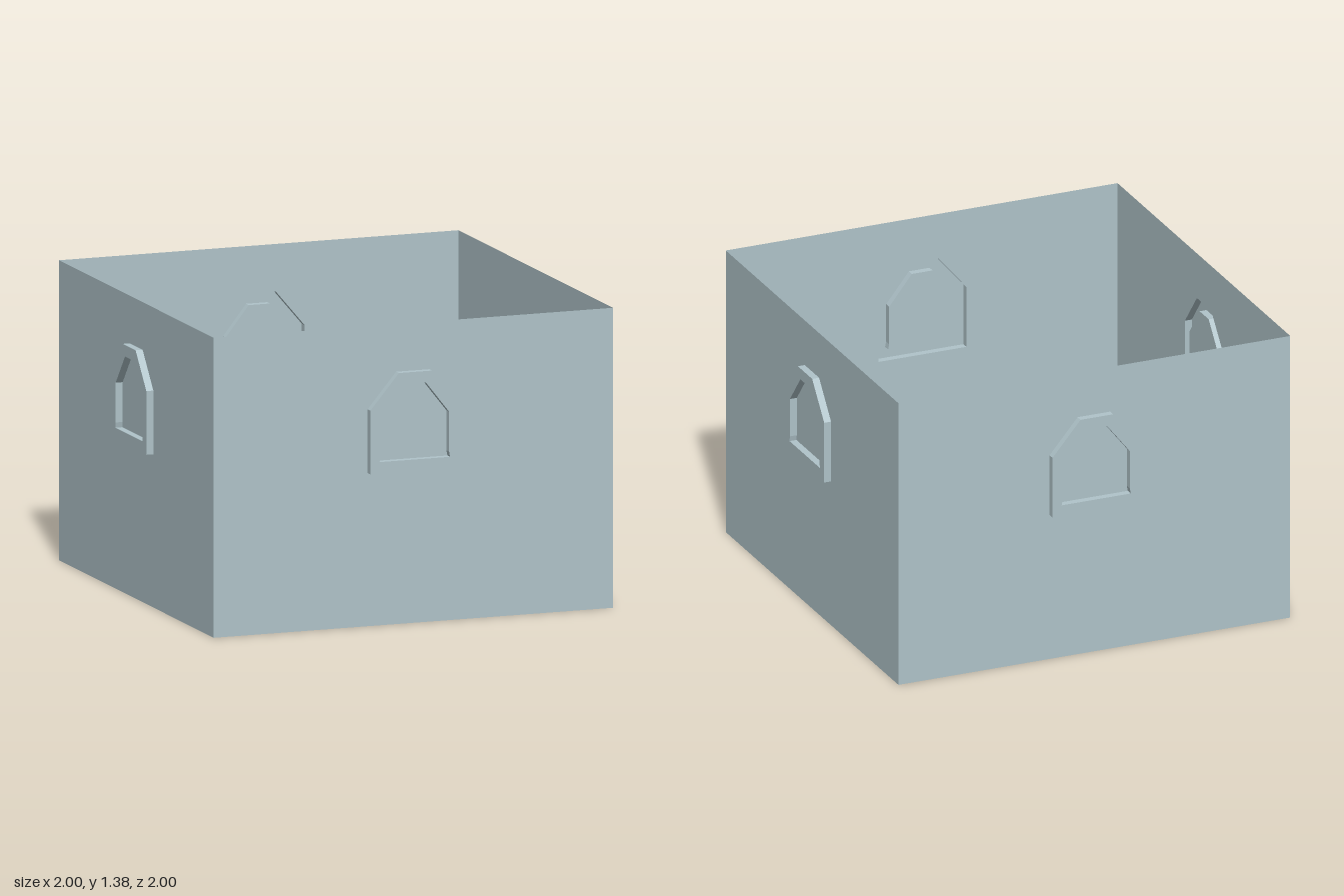
import * as THREE from 'three';

const HALF = 0.966, HEIGHT = 1.38, FACE = 1.0;

// Window outlines, counter-clockwise seen from outside
const OUTER = [[-0.221, 0.705], [0.212, 0.705], [0.212, 0.998], [0.078, 1.161], [-0.083, 1.161], [-0.221, 0.998]];
const INNER = [[-0.176, 0.758], [0.165, 0.758], [0.16, 0.783], [0.16, 0.966], [0.048, 1.108],
  [-0.054, 1.108], [-0.171, 0.966], [-0.171, 0.783]];

const toPoints = (list) => list.map(([x, y]) => new THREE.Vector2(x, y));

// Flat face at depth z, with an optional hole
function face(outline, hole, z) {
  const shape = new THREE.Shape(toPoints(outline));
  if (hole) shape.holes.push(new THREE.Path(toPoints(hole)));
  return new THREE.ShapeGeometry(shape).translate(0, 0, z);
}

// Band of quads joining an outline at depth z0 to the same outline at z1
function band(outline, z0, z1) {
  const pos = [];
  outline.forEach(([ax, ay], i) => {
    const [bx, by] = outline[(i + 1) % outline.length];
    pos.push(ax, ay, z0, bx, by, z0, bx, by, z1, ax, ay, z0, bx, by, z1, ax, ay, z1);
  });
  const geo = new THREE.BufferGeometry();
  geo.setAttribute('position', new THREE.Float32BufferAttribute(pos, 3));
  geo.computeVertexNormals();
  return geo;
}

export function createModel() {
  const model = new THREE.Group();
  model.name = 'walledRoom';
  const stone = new THREE.MeshStandardMaterial({ color: 0xb0c4ca, side: THREE.DoubleSide });
  stone.name = 'paleBlueGrey';

  const wall = [[-HALF, 0], [HALF, 0], [HALF, HEIGHT], [-HALF, HEIGHT]];
  const parts = {
    wall: face(wall, OUTER, HALF),
    windowFrameFront: face(OUTER, INNER, FACE),
    windowFrameOuterEdge: band(OUTER, HALF, FACE),
    windowFrameInnerEdge: band([...INNER].reverse(), HALF, FACE),
    windowPane: face(INNER, null, HALF),
  };

  // The same thin wall and hollow window frame on all four sides
  ['front', 'left', 'back', 'right'].forEach((name, i) => {
    const side = new THREE.Group();
    side.name = name + 'Side';
    for (const [part, geo] of Object.entries(parts)) {
      const mesh = new THREE.Mesh(geo, stone);
      mesh.name = part;
      side.add(mesh);
    }
    side.rotation.y = i * Math.PI / 2;
    model.add(side);
  });
  return model;
}
